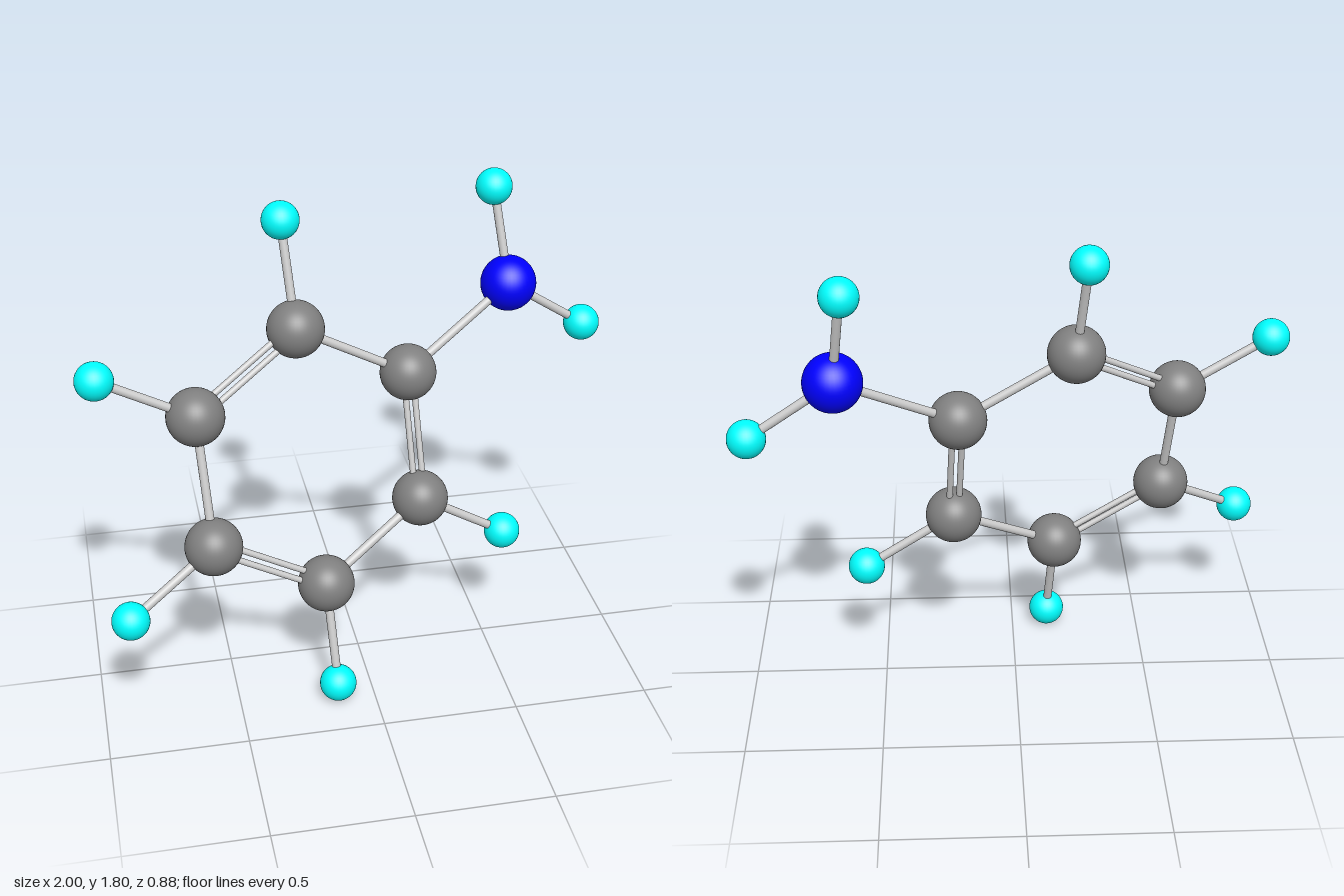
import * as THREE from 'three';

const V = (x, y, z) => new THREE.Vector3(x, y, z);
const UP = V(0, 1, 0);

// Atom centres: ring in order, amine nitrogen, outer hydrogens
const ring = [
  V(0.207, 1.126, -0.10), V(-0.212, 1.358, -0.062), V(-0.597, 1.136, 0.107),
  V(-0.568, 0.679, 0.238), V(-0.159, 0.446, 0.204), V(0.229, 0.666, 0.036),
];
const nitrogen = V(0.627, 1.366, -0.28);
const ringHydrogens = [ // bonded to ring[1] .. ring[5]
  V(-0.242, 1.73, -0.166), V(-0.934, 1.324, 0.135), V(-0.884, 0.497, 0.374),
  V(-0.137, 0.068, 0.312), V(0.56, 0.465, 0.01),
];
const amineHydrogens = [V(0.584, 1.714, -0.374), V(0.929, 1.168, -0.298)];

export function createModel() {
  const model = new THREE.Group();
  model.name = 'molecule';
  const mat = (color) => new THREE.MeshStandardMaterial({ color });
  const carbonMat = mat(0x808080), nitrogenMat = mat(0x0000ff);
  const hydrogenMat = mat(0x00ffff), bondMat = mat(0xc0c0c0);
  const bigSphere = new THREE.SphereGeometry(0.104, 40, 28);
  const smallSphere = new THREE.SphereGeometry(0.068, 32, 22);

  const atom = (name, geometry, material, p) => {
    const mesh = new THREE.Mesh(geometry, material);
    mesh.name = name;
    mesh.position.copy(p);
    model.add(mesh);
  };

  // Rod between two points, shifted sideways by an optional offset
  const bond = (name, a, b, radius = 0.016, offset = V(0, 0, 0)) => {
    const dir = b.clone().sub(a);
    const mesh = new THREE.Mesh(
      new THREE.CylinderGeometry(radius, radius, dir.length(), 20), bondMat);
    mesh.name = name;
    mesh.position.copy(a).add(b).multiplyScalar(0.5).add(offset);
    mesh.quaternion.setFromUnitVectors(UP, dir.normalize());
    model.add(mesh);
  };

  // Ring: alternating single and double bonds, double rods side by side in its plane
  const normal = ring[2].clone().sub(ring[0]).cross(ring[4].clone().sub(ring[0])).normalize();
  ring.forEach((a, i) => {
    const b = ring[(i + 1) % 6];
    atom('carbon' + (i + 1), bigSphere, carbonMat, a);
    if (i % 2 === 0) {
      bond('singleBond' + (i + 1), a, b);
    } else {
      const side = b.clone().sub(a).cross(normal).normalize();
      for (const s of [-1, 1]) {
        bond('doubleBond' + (i + 1) + (s < 0 ? 'Inner' : 'Outer'), a, b, 0.0115,
          side.clone().multiplyScalar(0.0185 * s));
      }
    }
  });

  // Ring hydrogens
  ringHydrogens.forEach((h, i) => {
    atom('ringHydrogen' + (i + 1), smallSphere, hydrogenMat, h);
    bond('ringHydrogenBond' + (i + 1), ring[i + 1], h);
  });

  // Amine group
  atom('nitrogen', bigSphere, nitrogenMat, nitrogen);
  bond('nitrogenBond', ring[0], nitrogen);
  amineHydrogens.forEach((h, i) => {
    atom('amineHydrogen' + (i + 1), smallSphere, hydrogenMat, h);
    bond('amineHydrogenBond' + (i + 1), nitrogen, h);
  });

  return model;
}
